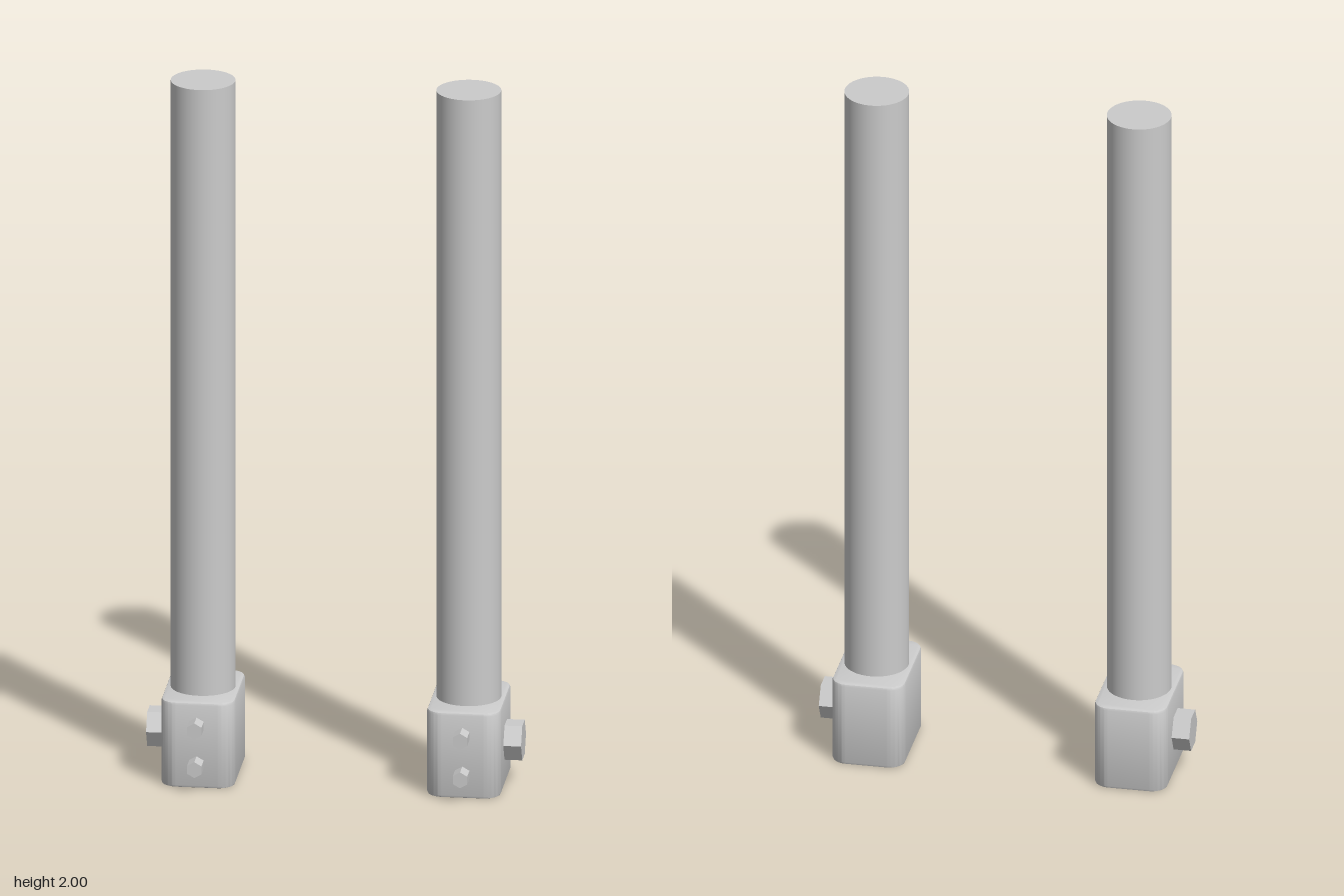
import * as THREE from 'three';
import { toCreasedNormals } from 'three/addons/utils/BufferGeometryUtils.js';

const material = new THREE.MeshStandardMaterial({ color: 0xcccccc });
const flatMaterial = new THREE.MeshStandardMaterial({ color: 0xcccccc, flatShading: true });
const CENTER_Z = -0.026;

function addMesh(parent, name, geometry, mat, x, y, z) {
  const mesh = new THREE.Mesh(geometry, mat);
  mesh.name = name;
  mesh.position.set(x, y, z);
  parent.add(mesh);
}

// Upright block: rounded corners in plan, small bevel on top and bottom rims
function blockGeometry(w, h, d, r, bevel) {
  const x = w / 2, y = d / 2;
  const shape = new THREE.Shape();
  shape.absarc(x - r, y - r, r, 0, Math.PI / 2);
  shape.absarc(-x + r, y - r, r, Math.PI / 2, Math.PI);
  shape.absarc(-x + r, -y + r, r, Math.PI, Math.PI * 1.5);
  shape.absarc(x - r, -y + r, r, Math.PI * 1.5, Math.PI * 2);
  shape.closePath();
  const geometry = new THREE.ExtrudeGeometry(shape, {
    depth: h - 2 * bevel, bevelThickness: bevel, bevelSize: bevel,
    bevelOffset: -bevel, bevelSegments: 2, curveSegments: 8,
  });
  geometry.rotateX(-Math.PI / 2).translate(0, bevel, 0);
  return toCreasedNormals(geometry, 0.5);
}

function createPost(side) {
  const post = new THREE.Group();
  post.name = side > 0 ? 'leftPost' : 'rightPost';
  post.position.set(side * 0.367, 0, 0);

  addMesh(post, 'baseBlock', blockGeometry(0.204, 0.247, 0.303, 0.045, 0.008), material, 0, 0, CENTER_Z);
  addMesh(post, 'column', new THREE.CylinderGeometry(0.089, 0.089, 1.77, 64), material, 0, 1.115, CENTER_Z);

  // Large hexagonal bolt on the outer side
  const sideBolt = new THREE.CylinderGeometry(0.057, 0.057, 0.07, 6).rotateZ(Math.PI / 2);
  addMesh(post, 'sideBolt', sideBolt, flatMaterial, side * 0.115 + side * 0.001, 0.125, CENTER_Z);

  // Two small hexagonal bolts on the front
  for (const y of [0.07, 0.182]) {
    const frontBolt = new THREE.CylinderGeometry(0.023, 0.023, 0.07, 6).rotateX(Math.PI / 2);
    addMesh(post, 'frontBolt', frontBolt, flatMaterial, 0, y, 0.142);
  }
  return post;
}

export function createModel() {
  const model = new THREE.Group();
  model.name = 'pairOfPosts';
  for (const side of [-1, 1]) model.add(createPost(side));
  return model;
}
